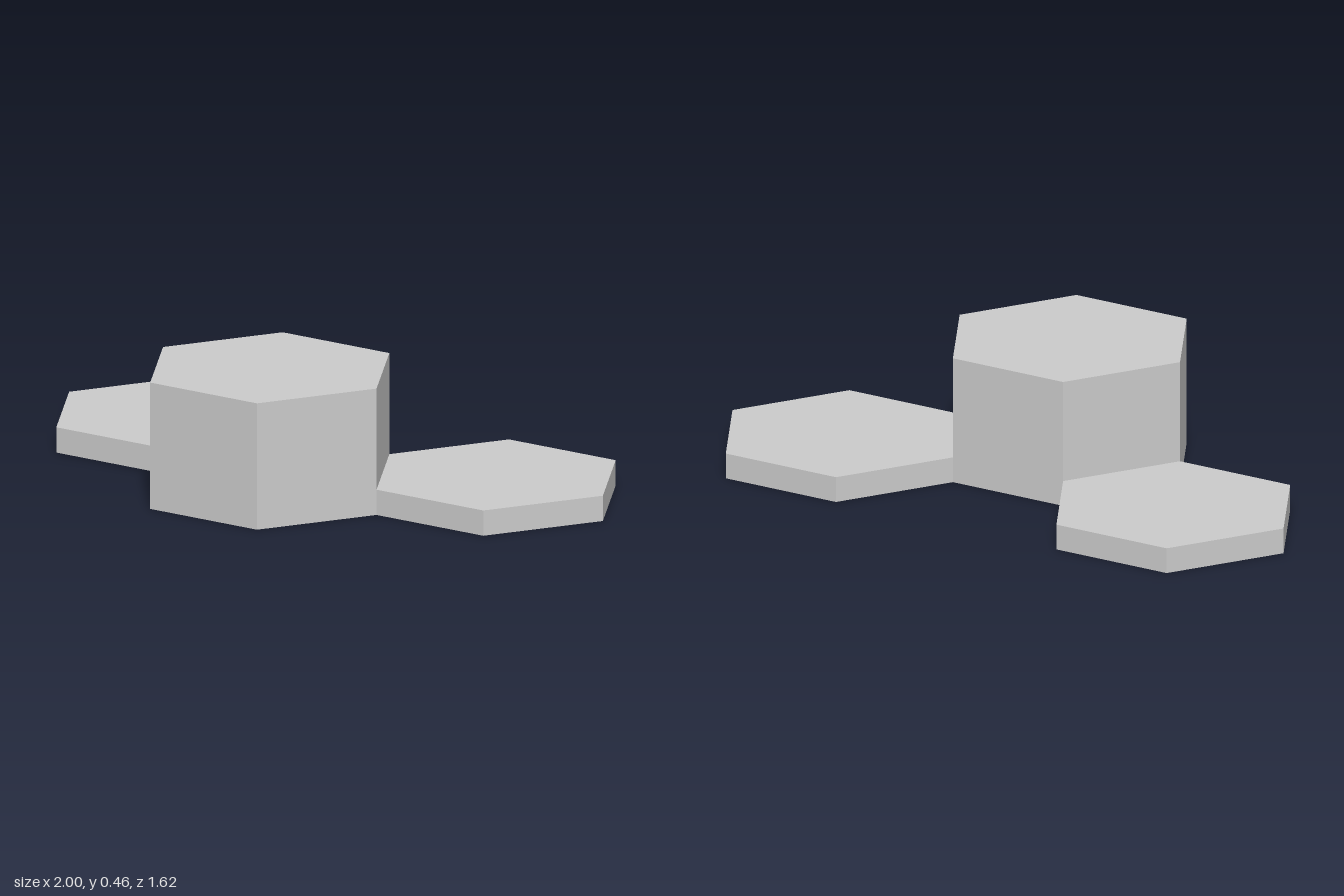
import * as THREE from 'three';

const APOTHEM = 0.4; // centre to flat side
const RADIUS = APOTHEM / Math.cos(Math.PI / 6); // centre to corner
const ROW = RADIUS * 0.75; // half the spacing between rows

export function createModel() {
  const model = new THREE.Group();
  model.name = 'hexTiles';

  const grey = new THREE.MeshStandardMaterial({ color: 0xcccccc });
  grey.name = 'light grey';

  // Hexagonal prism standing on the ground, corners pointing along z
  function addTile(name, x, z, height) {
    const geometry = new THREE.CylinderGeometry(RADIUS, RADIUS, height, 6).toNonIndexed();
    geometry.computeVertexNormals(); // flat facets
    const tile = new THREE.Mesh(geometry, grey);
    tile.name = name;
    tile.position.set(x, height / 2, z);
    model.add(tile);
  }

  addTile('backLowTile', -0.6, -ROW, RADIUS * 0.2);
  addTile('tallTile', -0.2, ROW, RADIUS);
  addTile('sideLowTile', 0.6, ROW, RADIUS * 0.2);

  return model;
}
